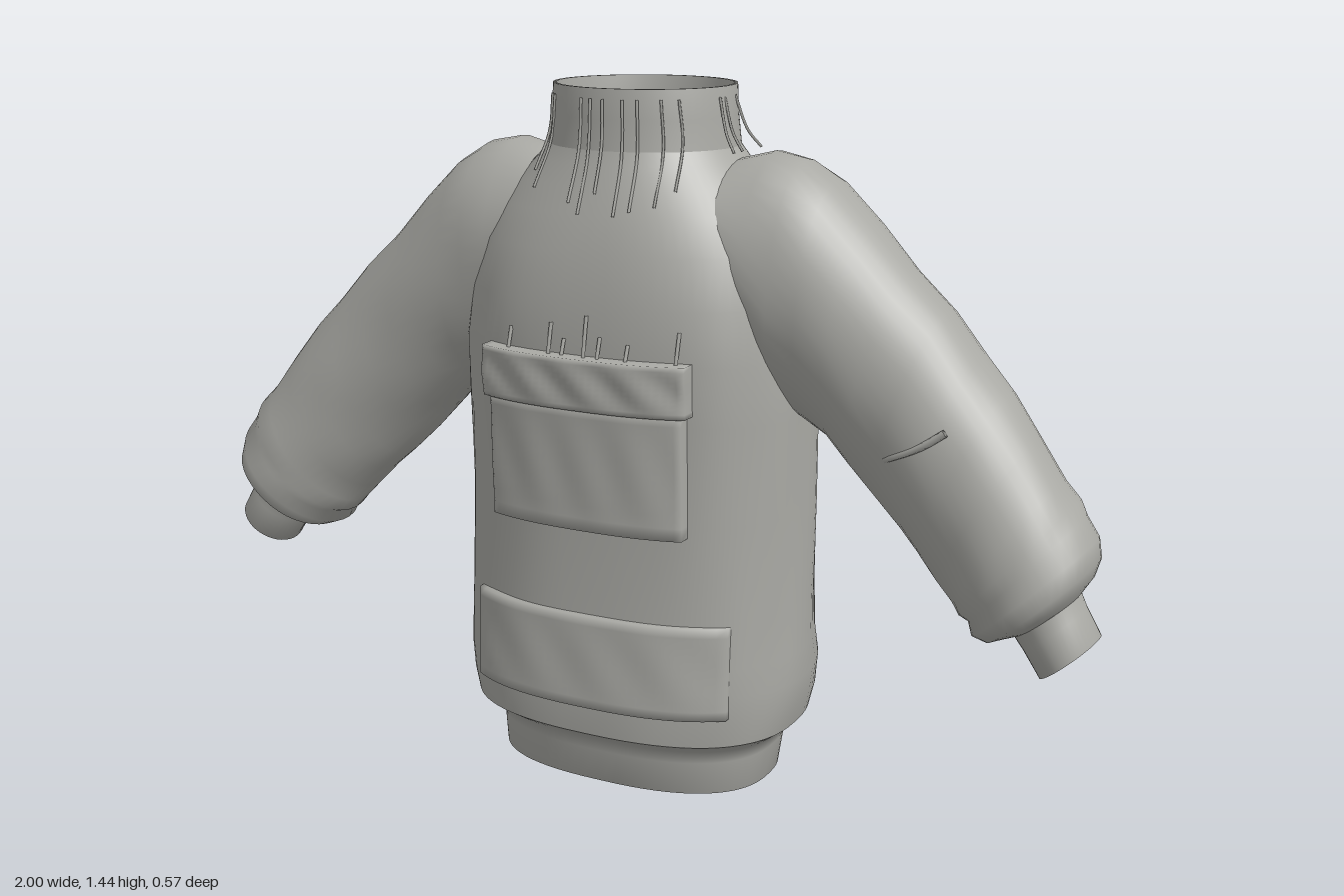
import * as THREE from 'three';

const fabric = new THREE.MeshStandardMaterial({ color: 0xa9a9a4, side: THREE.DoubleSide });
fabric.name = 'grey fabric';

// torso profile: y, half width, front z, back z
const PROFILE = [
  [0, 0.305, 0.19, -0.2], [0.07, 0.312, 0.195, -0.22], [0.1, 0.325, 0.205, -0.235],
  [0.13, 0.362, 0.25, -0.272], [0.18, 0.374, 0.253, -0.283], [0.24, 0.38, 0.25, -0.284],
  [0.3, 0.376, 0.247, -0.27], [0.4, 0.374, 0.242, -0.266], [0.6, 0.372, 0.236, -0.264],
  [0.8, 0.37, 0.243, -0.26], [0.92, 0.366, 0.25, -0.257], [1.03, 0.35, 0.246, -0.254],
  [1.13, 0.33, 0.228, -0.25], [1.2, 0.298, 0.205, -0.235], [1.25, 0.262, 0.188, -0.218],
  [1.29, 0.225, 0.172, -0.205], [1.32, 0.2, 0.162, -0.198], [1.38, 0.192, 0.157, -0.196],
  [1.44, 0.188, 0.157, -0.198],
];
const exponentAt = (y) => 2.5 - 0.5 * THREE.MathUtils.smoothstep(y, 1.05, 1.32);

function profileAt(y) {
  let i = 0;
  while (i < PROFILE.length - 2 && PROFILE[i + 1][0] < y) i++;
  const a = PROFILE[i], b = PROFILE[i + 1];
  const t = (y - a[0]) / (b[0] - a[0]);
  return a.map((v, k) => THREE.MathUtils.lerp(v, b[k], t));
}

// z of the torso front surface at x, y
function frontZ(x, y) {
  const [, w, zf, zb] = profileAt(y);
  const n = exponentAt(y);
  const k = Math.pow(Math.max(0, 1 - Math.pow(Math.min(1, Math.abs(x) / w), n)), 1 / n);
  return (zf + zb) / 2 + ((zf - zb) / 2) * k;
}

// skin a grid of points; closed grids wrap around each row
function skin(rows, closed) {
  const n = rows[0].length, pos = rows.flat(2), index = [];
  for (let r = 0; r < rows.length - 1; r++) {
    for (let j = 0; j < (closed ? n : n - 1); j++) {
      const k = (j + 1) % n;
      const a = r * n + j, b = (r + 1) * n + j, c = r * n + k, d = (r + 1) * n + k;
      index.push(a, b, c, c, b, d);
    }
  }
  const g = new THREE.BufferGeometry();
  g.setAttribute('position', new THREE.Float32BufferAttribute(pos, 3));
  g.setIndex(index);
  g.computeVertexNormals();
  return g;
}

function add(parent, name, geometry) {
  const m = new THREE.Mesh(geometry, fabric);
  m.name = name;
  parent.add(m);
  return m;
}

// torso ring, with soft vertical folds that fade out at hem and shoulders
function torsoRing([y, w, zf, zb], inset = 0, yOut = y) {
  const n = exponentAt(y), ring = [], N = 72;
  const fade = THREE.MathUtils.smoothstep(y, 0.1, 0.3) * (1 - THREE.MathUtils.smoothstep(y, 0.9, 1.2));
  for (let j = 0; j < N; j++) {
    const a = (j / N) * Math.PI * 2, c = Math.cos(a), s = Math.sin(a);
    const f = 1 + 0.012 * fade * Math.sin(9 * a + 3 * y) * Math.sin(5 * y + a);
    ring.push([
      Math.sign(c) * Math.pow(Math.abs(c), 2 / n) * (w - inset) * f,
      yOut,
      (zf + zb) / 2 + Math.sign(s) * Math.pow(Math.abs(s), 2 / n) * ((zf - zb) / 2 - inset) * f,
    ]);
  }
  return ring;
}

// sleeve sections: top x, y, bottom x, y, half depth, centre z
const SLEEVE = [
  [0.215, 1.3, 0.22, 0.98, 0.165, -0.02], [0.29, 1.316, 0.28, 0.88, 0.172, -0.02],
  [0.36, 1.306, 0.33, 0.82, 0.17, -0.02], [0.42, 1.27, 0.385, 0.785, 0.166, -0.022],
  [0.5, 1.19, 0.43, 0.755, 0.162, -0.022], [0.58, 1.105, 0.48, 0.705, 0.16, -0.02],
  [0.66, 1.035, 0.53, 0.655, 0.156, -0.018], [0.73, 0.95, 0.59, 0.595, 0.156, -0.01],
  [0.79, 0.885, 0.63, 0.555, 0.153, 0], [0.85, 0.81, 0.675, 0.51, 0.148, 0.012],
  [0.905, 0.735, 0.71, 0.475, 0.148, 0.02], [0.935, 0.7, 0.725, 0.452, 0.155, 0.024],
  [0.95, 0.67, 0.745, 0.445, 0.147, 0.026], [0.978, 0.635, 0.755, 0.42, 0.152, 0.03],
  [0.985, 0.595, 0.785, 0.412, 0.142, 0.034], [0.975, 0.56, 0.815, 0.425, 0.115, 0.038],
  [0.955, 0.527, 0.838, 0.433, 0.083, 0.043],
];
const CUFF = [
  [0.955, 0.527, 0.838, 0.433, 0.083, 0.043], [0.968, 0.5, 0.856, 0.41, 0.08, 0.044],
  [0.998, 0.448, 0.892, 0.358, 0.082, 0.045], [0.985, 0.45, 0.9, 0.375, 0.066, 0.045],
  [0.945, 0.51, 0.86, 0.435, 0.066, 0.043],
];
function sleeveRings(sections, side, folds) {
  const N = 40;
  return sections.map(([tx, ty, bx, by, w, zc], i) => Array.from({ length: N }, (_, j) => {
    const a = (j / N) * Math.PI * 2;
    const f = Math.cos(a) * (1 + folds * Math.sin(3 * a + i * 1.7));
    return [
      side * ((tx + bx) / 2 + ((tx - bx) / 2) * f),
      (ty + by) / 2 + ((ty - by) / 2) * f,
      zc - side * w * Math.sin(a) * (1 + folds * Math.sin(4 * a + i * 2.1)),
    ];
  }));
}

// raised patch that follows the chest; its edges sink into the cloth
function patch(x0, x1, y0, y1, lift, ripple = 0) {
  const rows = [], U = 32, V = 12;
  for (let v = 0; v <= V; v++) {
    const row = [];
    for (let u = 0; u <= U; u++) {
      const edge = u === 0 || v === 0 || u === U || v === V;
      const cu = THREE.MathUtils.clamp((u - 1) / (U - 2), 0, 1);
      const cv = THREE.MathUtils.clamp((v - 1) / (V - 2), 0, 1);
      const x = x0 + (x1 - x0) * cu, y = y0 + (y1 - y0) * cv;
      const wave = ripple * Math.sin(cu * 23 + cv * 4) * Math.sin(cv * Math.PI);
      row.push([x, y, frontZ(x, y) + (edge ? -0.012 : lift + wave)]);
    }
    rows.push(row.reverse());
  }
  return skin(rows, false);
}

function cord(points, radius) {
  const curve = new THREE.CatmullRomCurve3(points.map((p) => new THREE.Vector3(...p)));
  return new THREE.TubeGeometry(curve, 12, radius, 5, false);
}

export function createModel() {
  const model = new THREE.Group();
  model.name = 'sweater';

  // hem, body and collar share the same profile
  const hem = PROFILE.slice(0, 4), body = PROFILE.slice(3, 17), collar = PROFILE.slice(16);
  add(model, 'hem', skin([
    torsoRing(PROFILE[1], 0.025), torsoRing(PROFILE[0], 0.018), ...hem.map((p) => torsoRing(p)),
  ], true));
  add(model, 'body', skin(body.map((p) => torsoRing(p)), true));
  const top = PROFILE[PROFILE.length - 1];
  add(model, 'collar', skin([
    ...collar.map((p) => torsoRing(p)), torsoRing(top, 0.007), torsoRing(top, 0.01, 1.36),
  ], true));

  // sleeves with gathered wrists
  for (const side of [1, -1]) {
    const name = side > 0 ? 'left' : 'right';
    add(model, name + 'Sleeve', skin(sleeveRings(SLEEVE, side, 0.012), true));
    add(model, name + 'Cuff', skin(sleeveRings(CUFF, side, 0), true));
  }

  // chest pocket, flap and lower pouch
  add(model, 'chestPocket', patch(-0.215, 0.215, 0.575, 0.835, 0.03, 0.002));
  add(model, 'pocketFlap', patch(-0.23, 0.225, 0.825, 0.93, 0.036, 0.005));
  add(model, 'lowerPouch', patch(-0.28, 0.295, 0.195, 0.39, 0.014, 0.002));

  // fine gathers below the collar
  const gathers = [[-0.15, 1.24], [-0.165, 1.27], [-0.055, 1.22], [-0.03, 1.2], [0, 1.24],
    [0.045, 1.2], [0.075, 1.21], [0.12, 1.22], [0.15, 1.25]];
  for (const [x, y] of gathers) {
    const pts = [1.42, (1.42 + y) / 2, y].map((h, i) => {
      const px = x * (0.92 + 0.06 * i);
      return [px, h, frontZ(px, h) + 0.003];
    });
    add(model, 'collarGather', cord(pts, 0.003));
  }
  for (const z of [0.03, 0, -0.07]) {
    add(model, 'sideGather', cord([[0.186, 1.42, z * 0.7], [0.205, 1.35, z], [0.226, 1.315, z * 1.3]], 0.003));
  }

  // short pleats above the flap
  for (const [x, h] of [[-0.17, 0.97], [-0.07, 0.99], [-0.04, 0.96], [0.01, 1.01], [0.04, 0.97], [0.1, 0.96], [0.2, 0.99]]) {
    add(model, 'flapPleat', cord([[x, 0.92, frontZ(x, 0.92) + 0.014], [x, h, frontZ(x, h)]], 0.004));
  }

  // seam across the left forearm
  add(model, 'sleeveSeam', cord([[0.54, 0.735, 0.07], [0.6, 0.77, 0.13], [0.66, 0.8, 0.145], [0.71, 0.835, 0.14]], 0.008));
  return model;
}
